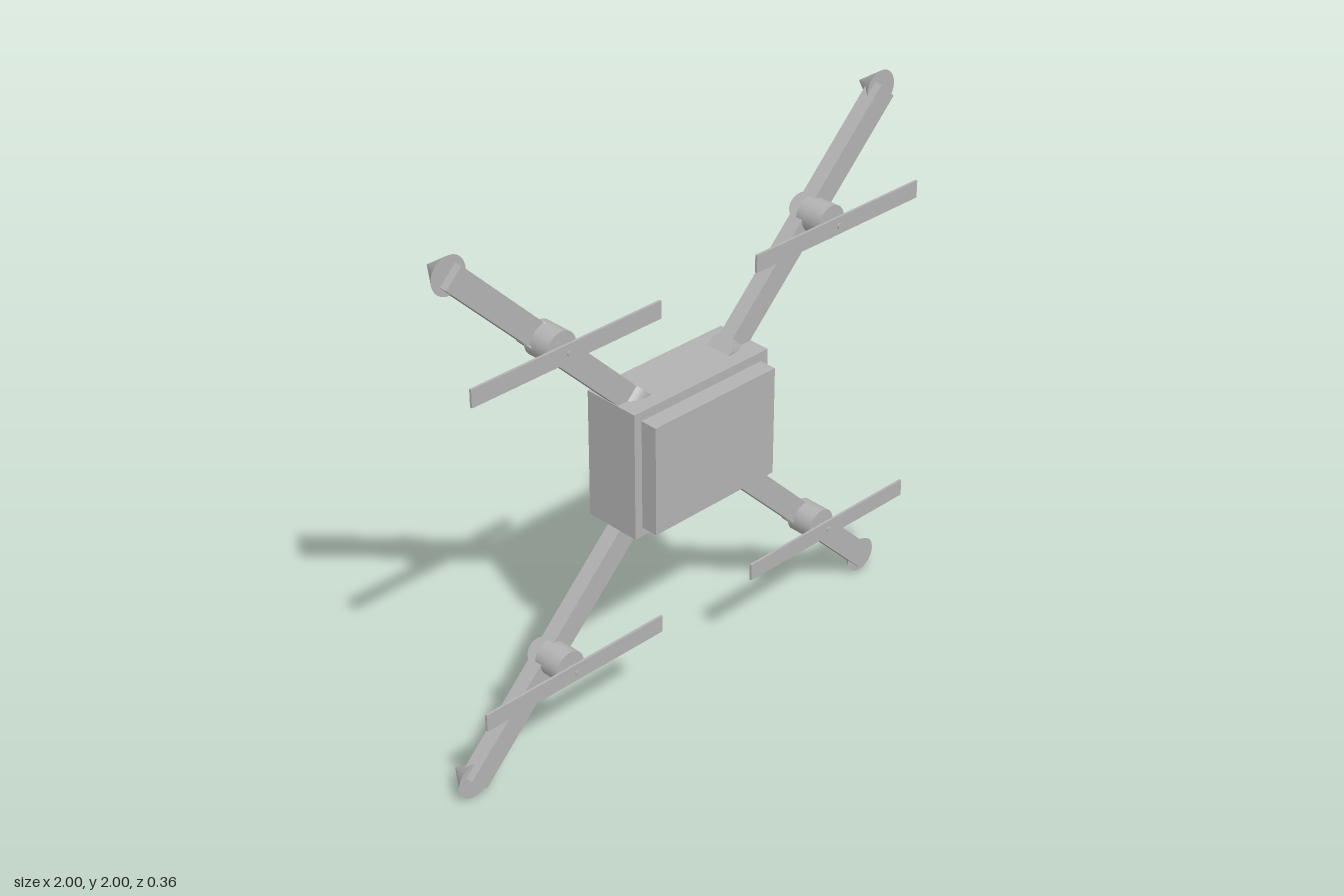
import * as THREE from 'three';

const grey = new THREE.MeshStandardMaterial({ color: 0xb2b2b2 });
grey.name = 'light grey';

function add(parent, name, geometry, x, y, z) {
  const mesh = new THREE.Mesh(geometry, grey);
  mesh.name = name;
  mesh.position.set(x, y, z);
  parent.add(mesh);
  return mesh;
}

// cylinder whose axis runs along z
const zCylinder = (r, length) =>
  new THREE.CylinderGeometry(r, r, length, 40).rotateX(Math.PI / 2);

const MID_Z = 0.01;        // centre plane of the arms
const ARM_WIDTH = 0.086;

function createArm(sx, sy) {
  const arm = new THREE.Group();
  arm.name = (sy > 0 ? 'upper' : 'lower') + (sx > 0 ? 'Left' : 'Right') + 'Arm';

  // diagonal beam and hinges, laid out along local x
  const beam = new THREE.Group();
  beam.name = 'diagonalBeam';
  beam.rotation.z = Math.atan2(sy, sx);
  arm.add(beam);
  const start = 0.28, end = 1.325;
  add(beam, 'armBar', new THREE.BoxGeometry(end - start, ARM_WIDTH, 0.057), (start + end) / 2, 0, MID_Z);
  const hinge = new THREE.CylinderGeometry(0.051, 0.051, ARM_WIDTH + 0.002, 40);
  add(beam, 'rootHinge', hinge, 0.307, 0, MID_Z + 0.002);
  add(beam, 'motorHinge', hinge, 0.6 * Math.SQRT2, 0, MID_Z);

  // motor, shaft and level propeller
  const x = 0.597 * sx, y = 0.597 * sy;
  add(arm, 'motor', zCylinder(0.06, 0.103), x, y, 0.0625);
  add(arm, 'shaft', zCylinder(0.009, 0.05), x, y, 0.13);
  add(arm, 'propeller', new THREE.BoxGeometry(0.77, 0.063, 0.009), x, y, 0.144);

  // pointed foot facing the back
  const cone = new THREE.ConeGeometry(0.066, 0.097, 40).rotateX(-Math.PI / 2);
  add(arm, 'coneFoot', cone, 0.934 * sx, 0.934 * sy, MID_Z - 0.0485);
  return arm;
}

export function createModel() {
  const model = new THREE.Group();
  model.name = 'quadcopter';
  const frame = new THREE.Group();
  frame.name = 'frame';
  frame.position.y = 1;
  model.add(frame);

  // central body with raised front cover
  add(frame, 'body', new THREE.BoxGeometry(0.604, 0.472, 0.217), 0, 0.002, 0.0085);
  add(frame, 'frontCover', new THREE.BoxGeometry(0.542, 0.404, 0.07), 0, 0.002, 0.146);

  // round camera on the back, overhanging one side
  add(frame, 'camera', zCylinder(0.0985, 0.115), 0.234, 0.003, -0.1255);

  for (const sx of [-1, 1]) for (const sy of [-1, 1]) frame.add(createArm(sx, sy));
  return model;
}
